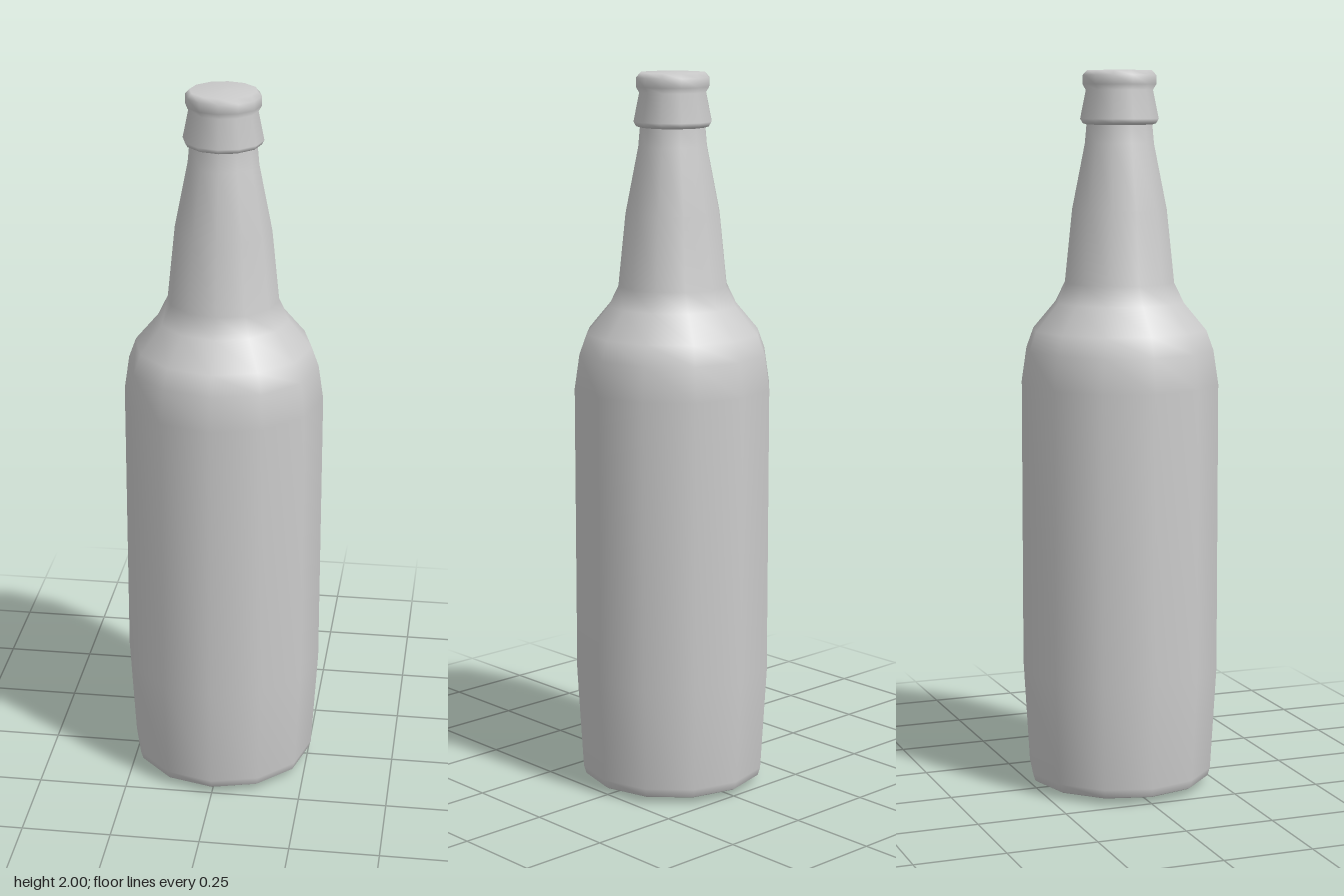
import * as THREE from 'three';

const SIDES = 12;

// Turns a [radius, height] profile, listed from bottom to top, into a mesh
function turned(name, profile, material) {
  const points = profile.map(([r, y]) => new THREE.Vector2(r, y));
  const mesh = new THREE.Mesh(new THREE.LatheGeometry(points, SIDES), material);
  mesh.name = name;
  return mesh;
}

export function createModel() {
  const group = new THREE.Group();
  group.name = 'bottle';
  const material = new THREE.MeshStandardMaterial({ color: 0xcccccc });

  // Shallow pointed base, tapered foot, straight body, shoulder and neck
  group.add(turned('bodyAndNeck', [
    [0, 0], [0.247, 0.018], [0.253, 0.022], [0.26, 0.045],
    [0.277, 0.335], [0.277, 1.14],
    [0.263, 1.235], [0.243, 1.29], [0.18, 1.365], [0.153, 1.42],
    [0.132, 1.62], [0.096, 1.8], [0.091, 1.855],
  ], material));

  // Flared collar, groove and rounded cap
  group.add(turned('collarAndCap', [
    [0.088, 1.85], [0.102, 1.855], [0.109, 1.867], [0.093, 1.945],
    [0.102, 1.96], [0.102, 1.985], [0.09, 1.998], [0, 2],
  ], material));

  return group;
}
